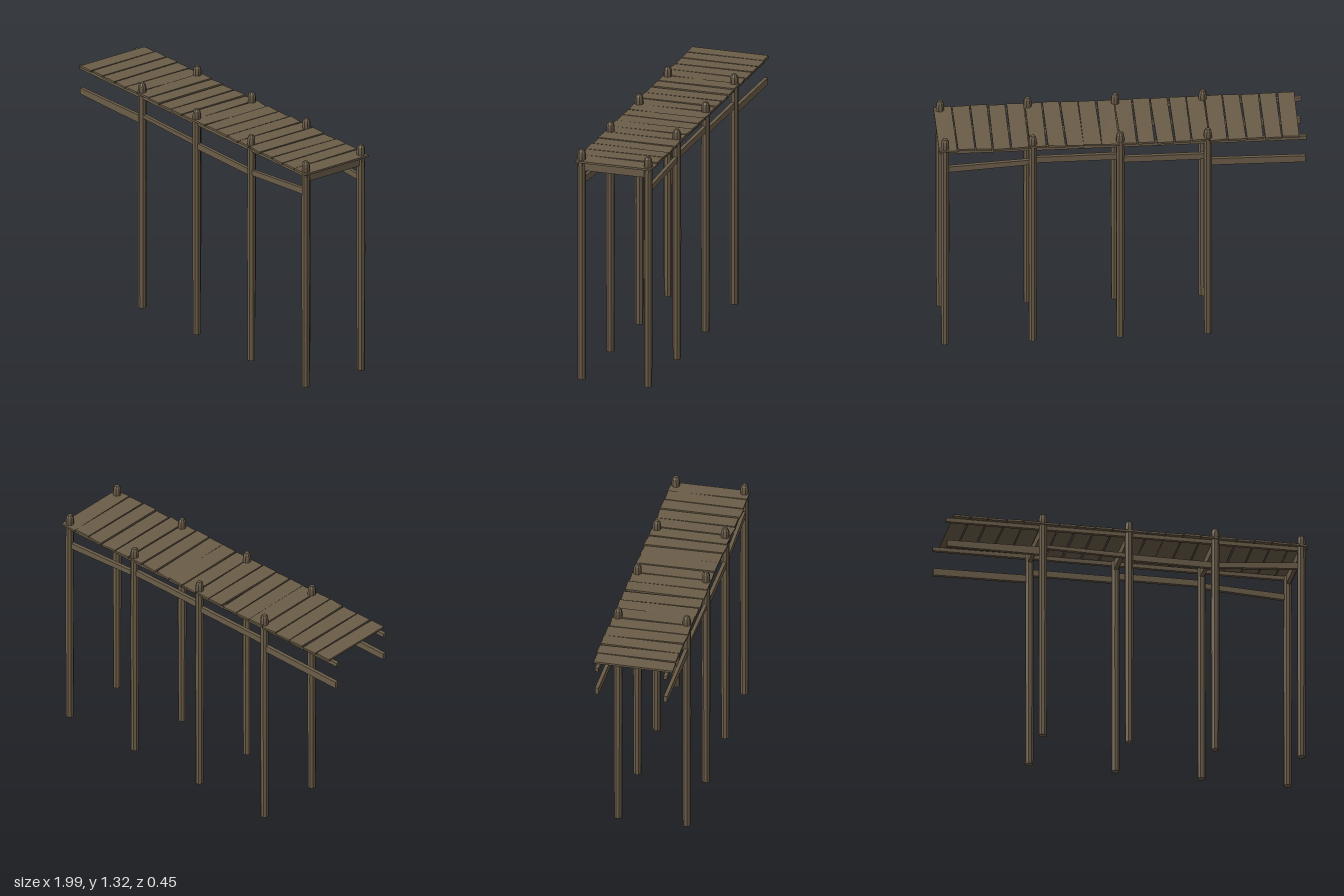
import * as THREE from 'three';

// Small seeded generator, returns -1..1
function makeJitter(seed) {
  let s = seed;
  return () => {
    s = (s * 16807) % 2147483647;
    return (s / 2147483647) * 2 - 1;
  };
}

export function createModel() {
  const model = new THREE.Group();
  model.name = 'pier';
  const wood = new THREE.MeshStandardMaterial({ color: 0x6a5c48, flatShading: true });
  wood.name = 'weathered wood';
  const jitter = makeJitter(4711);

  const add = (geometry, name) => {
    const mesh = new THREE.Mesh(geometry, wood);
    mesh.name = name;
    model.add(mesh);
    return mesh;
  };

  // Straight timber along x; each end has its own [bottom, top] heights
  const timber = (x0, x1, end0, end1, z, depth, name) => {
    const shape = new THREE.Shape([
      new THREE.Vector2(x0, end0[0]), new THREE.Vector2(x1, end1[0]),
      new THREE.Vector2(x1, end1[1]), new THREE.Vector2(x0, end0[1]),
    ]);
    const geometry = new THREE.ExtrudeGeometry(shape, { depth, bevelEnabled: false });
    geometry.translate(0, 0, z - depth / 2);
    return add(geometry, name);
  };

  const pileX = [-0.465, 0.01, 0.485, 0.96];
  const sideZ = 0.19;

  // Octagonal piles with rounded heads
  const pileProfile = [
    [0, 0], [0.022, 0], [0.024, 0.7], [0.023, 1.285], [0.02, 1.303], [0.012, 1.315], [0, 1.315],
  ].map(([r, y]) => new THREE.Vector2(r, y));
  for (const x of pileX) {
    for (const side of [1, -1]) {
      const pile = add(new THREE.LatheGeometry(pileProfile, 8), 'pile');
      pile.position.set(x, 0, side * sideZ);
      pile.rotation.y = Math.PI / 8 + jitter() * 0.15;
    }
    // Cross beam joining the pair
    const beam = add(new THREE.BoxGeometry(0.022, 0.05, sideZ * 2), 'crossBeam');
    beam.position.set(x, 1.223, 0);
  }

  // Stringers under the deck
  for (const side of [1, -1]) {
    timber(-1, 0.985, [1.225, 1.247], [1.225, 1.247], side * sideZ, 0.02, 'stringer');
  }

  // Lower side rails, one uneven length per bay
  const stations = [-0.995, ...pileX];
  const frontRail = [
    [[1.08, 1.115], [1.075, 1.12]],
    [[1.115, 1.135], [1.1, 1.125]],
    [[1.085, 1.12], [1.08, 1.115]],
    [[1.085, 1.115], [1.12, 1.157]],
  ];
  const backRail = [
    [[1.08, 1.12], [1.085, 1.125]],
    [[1.125, 1.16], [1.125, 1.16]],
    [[1.145, 1.182], [1.145, 1.18]],
    [[1.135, 1.165], [1.105, 1.14]],
  ];
  [[frontRail, sideZ], [backRail, -sideZ]].forEach(([rail, z]) => {
    rail.forEach(([a, b], i) => timber(stations[i], stations[i + 1], a, b, z, 0.02, 'sideRail'));
  });

  // Deck planks with slightly crooked edges and ends
  const count = 20;
  const pitch = 0.098;
  for (let i = 0; i < count; i++) {
    const geometry = new THREE.BoxGeometry(0.09, 0.011, 0.438);
    const position = geometry.attributes.position;
    const corners = {};
    for (let v = 0; v < position.count; v++) {
      const sx = Math.sign(position.getX(v));
      const sz = Math.sign(position.getZ(v));
      const key = sx + ',' + sz;
      corners[key] ??= [jitter() * 0.004, jitter() * 0.003, jitter() * 0.005];
      const [dx, dy, dz] = corners[key];
      position.setXYZ(v, position.getX(v) + dx, position.getY(v) + dy, position.getZ(v) + dz);
    }
    geometry.computeVertexNormals();
    const plank = add(geometry, 'deckPlank');
    plank.position.set(-0.917 + i * pitch, 1.255 + jitter() * 0.002, 0.0);
  }

  return model;
}
